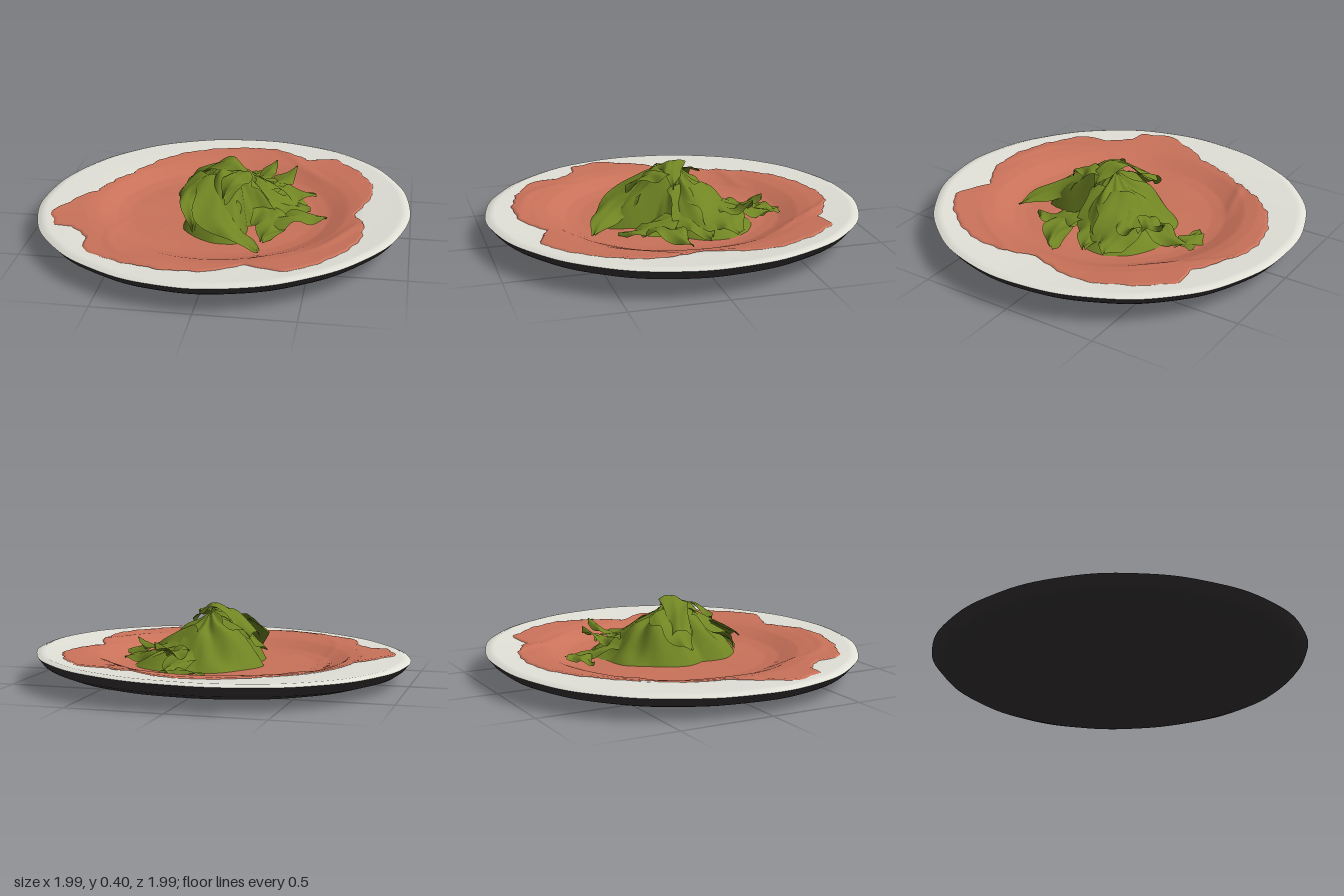
import * as THREE from 'three';

const material = (name, color, side = THREE.FrontSide) => {
  const m = new THREE.MeshStandardMaterial({ color, side });
  m.name = name;
  return m;
};

// Piecewise linear lookup in a list of [position, value]
function lookup(list, p) {
  for (let i = 1; i < list.length; i++) {
    if (p <= list[i][0]) {
      const [a, b] = [list[i - 1], list[i]];
      return a[1] + (b[1] - a[1]) * (p - a[0]) / (b[0] - a[0]);
    }
  }
  return list[list.length - 1][1];
}

// Turns an outline of x, z pairs into radius by angle around a centre
function radiusByAngle(flat, cx, cz) {
  const polar = [];
  for (let i = 0; i < flat.length; i += 2) {
    const x = flat[i] - cx, z = flat[i + 1] - cz;
    polar.push([Math.atan2(z, x), Math.hypot(x, z)]);
  }
  polar.sort((a, b) => a[0] - b[0]);
  const first = polar[0], last = polar[polar.length - 1], turn = Math.PI * 2;
  const list = [[last[0] - turn, last[1]], ...polar, [first[0] + turn, first[1]]];
  return a => lookup(list, a > Math.PI ? a - turn : a);
}

function gridGeometry(points, rows, cols, wrap) {
  const index = [];
  const width = wrap ? cols : cols + 1;
  for (let i = 0; i < rows; i++) {
    for (let j = 0; j < cols; j++) {
      const k = (j + 1) % width;
      const a = i * width + j, b = i * width + k;
      index.push(a, b, a + width, b, b + width, a + width);
    }
  }
  const g = new THREE.BufferGeometry();
  g.setAttribute('position', new THREE.Float32BufferAttribute(points, 3));
  g.setIndex(index);
  g.computeVertexNormals();
  return g;
}

// Round sheet; place(t, angle) gives a point, t running from centre to edge
function polarSheet(rows, cols, place) {
  const points = [];
  for (let i = 0; i <= rows; i++) {
    for (let j = 0; j < cols; j++) {
      points.push(...place(0.003 + 0.997 * i / rows, j / cols * Math.PI * 2));
    }
  }
  return gridGeometry(points, rows, cols, true);
}

// Slightly tilted plate: heights by radius
const topProfile = [[0, 0.068], [0.5, 0.072], [0.57, 0.082], [0.67, 0.12], [0.74, 0.133], [0.97, 0.147], [1, 0.135]];
const underProfile = [[0, 0], [0.45, 0.004], [0.6, 0.014], [0.75, 0.031], [0.87, 0.053], [0.96, 0.085], [1, 0.135]];
const tilt = (x, r) => 0.023 * x * r * r;
const topY = (x, z) => {
  const r = Math.hypot(x, z);
  return lookup(topProfile, r) + tilt(x, r);
};

// Meat surface with spiralling wrinkles that fade in and out
function meatY(x, z) {
  const r = Math.hypot(x, z), a = Math.atan2(z, x);
  const crease = Math.pow(Math.abs(Math.sin(9 * r + 2 * a + 0.5 * Math.sin(5 * a))), 24);
  const patch = Math.max(0, Math.sin(4 * a + 8 * r));
  return topY(x, z) + 0.009 + 0.007 * crease * patch * Math.min(1, r * 2)
    + 0.003 * Math.sin(7 * x + 4 * z) * Math.sin(9 * z - 3 * x);
}

const meatOutline = [
  0.79, -0.3, 0.7, -0.52, 0.55, -0.7, 0.4, -0.68, 0.12, -0.83, -0.1, -0.82, -0.3, -0.74, -0.57, -0.42,
  -0.72, -0.1, -0.84, 0.09, -0.9, 0.22, -0.83, 0.38, -0.74, 0.39, -0.63, 0.5, -0.62, 0.65, -0.33, 0.8,
  -0.15, 0.84, 0.05, 0.82, 0.2, 0.72, 0.43, 0.79, 0.74, 0.43, 0.76, 0.2, 0.7, 0.04,
];

const heartOutline = [
  0.2, -0.38, 0.37, -0.31, 0.44, -0.2, 0.42, -0.05, 0.24, 0.08, 0.15, 0.15, 0.12, 0.38,
  0, 0.38, -0.18, 0.23, -0.18, 0.08, -0.23, -0.02, -0.16, -0.22, -0.07, -0.33, 0.06, -0.35,
];

// Leaf spine: base, middle and tip as x, y, z, then half width
const leaves = {
  backStalk: [0.12, 0.2, -0.2, 0.14, 0.14, -0.35, 0.14, 0.11, -0.52, 0.08],
  backTip: [0.18, 0.11, -0.5, 0.08, 0.12, -0.5, -0.04, 0.1, -0.48, 0.065],
  backUpturned: [0.14, 0.2, -0.24, 0.18, 0.18, -0.32, 0.24, 0.24, -0.42, 0.06],
  backCorner: [0.18, 0.22, -0.14, 0.28, 0.19, -0.24, 0.36, 0.25, -0.33, 0.07],
  backRight: [0.14, 0.29, -0.08, 0.32, 0.17, -0.19, 0.48, 0.13, -0.22, 0.12],
  right: [0.14, 0.3, 0, 0.3, 0.15, -0.04, 0.46, 0.11, -0.08, 0.1],
  frontRight: [0.22, 0.16, 0.05, 0.28, 0.13, 0.2, 0.25, 0.1, 0.36, 0.09],
  frontRightSpur: [0.24, 0.12, 0.2, 0.4, 0.15, 0.12, 0.56, 0.12, 0.05, 0.08],
  front: [-0.03, 0.34, 0.08, 0.02, 0.21, 0.3, 0.25, 0.105, 0.49, 0.12],
  frontLeft: [-0.09, 0.34, 0.07, -0.15, 0.26, 0.17, -0.11, 0.14, 0.32, 0.07],
  frontSmall: [0.1, 0.36, 0.04, 0.08, 0.35, 0.15, 0.04, 0.28, 0.27, 0.07],
  left: [-0.02, 0.34, -0.1, -0.15, 0.26, -0.05, -0.25, 0.17, -0.02, 0.1],
  crest: [-0.19, 0.26, -0.05, 0.05, 0.4, 0.02, 0.18, 0.31, 0.04, 0.07],
};

function leafGeometry(s, phase) {
  const knots = [0, 3, 6].map(i => new THREE.Vector3(s[i], s[i + 1], s[i + 2]));
  const curve = new THREE.CatmullRomCurve3(knots);
  const rows = 28, cols = 14, points = [];
  for (let i = 0; i <= rows; i++) {
    const t = i / rows;
    const p = curve.getPoint(t), d = curve.getTangent(t);
    const flat = Math.hypot(d.x, d.z);
    const w = s[9] * Math.sin(Math.PI * (0.25 + 0.72 * t)) * (1 + 0.13 * Math.sin(t * 15 + phase));
    for (let j = 0; j <= cols; j++) {
      const v = j / cols * 2 - 1;
      const lift = 0.018 * Math.abs(v) * Math.sin(t * 11 + v * 2.5 + phase) - 0.018 * v * v;
      const x = p.x + d.z / flat * v * w, z = p.z - d.x / flat * v * w;
      points.push(x, Math.max(p.y + lift, topY(x, z) + 0.018), z);
    }
  }
  return gridGeometry(points, rows, cols, false);
}

export function createModel() {
  const group = new THREE.Group();
  const white = material('offWhiteGlaze', 0xe2e1d8);
  const dark = material('darkUnderside', 0x393536);
  const pink = material('curedMeat', 0xca725a);
  const green = material('leafGreen', 0x718523, THREE.DoubleSide);
  const add = (name, geometry, mat) => {
    const mesh = new THREE.Mesh(geometry, mat);
    mesh.name = name;
    group.add(mesh);
  };

  // Plate with a slightly uneven edge
  const edge = a => 0.995 + 0.004 * Math.sin(5 * a) + 0.002 * Math.sin(17 * a);
  add('plateTop', polarSheet(60, 128, (t, a) => {
    const r = t * edge(a), x = r * Math.cos(a), z = r * Math.sin(a);
    return [x, lookup(topProfile, t) + tilt(x, r), z];
  }), white);
  add('plateUnderside', polarSheet(60, 128, (t, a) => {
    const r = t * edge(-a), x = r * Math.cos(a), z = -r * Math.sin(a);
    return [x, Math.max(0, lookup(underProfile, t) + tilt(x, r)), z];
  }), dark);

  // Thin sliced meat lying in the plate, its edge pressed down
  const meatRadius = radiusByAngle(meatOutline, 0, 0);
  add('meatSlices', polarSheet(90, 220, (t, a) => {
    const r = t * (meatRadius(a) + 0.008 * Math.sin(41 * a) * Math.sin(13 * a));
    const x = r * Math.cos(a), z = r * Math.sin(a);
    return [x, meatY(x, z) - (t === 1 ? 0.007 : 0), z];
  }), pink);

  // Crumpled heart of the salad, steep at the front left and shallow at the back right
  const cx = 0.06, cz = -0.02;
  const heartRadius = radiusByAngle(heartOutline, cx, cz);
  add('saladHeart', polarSheet(40, 120, (t, a) => {
    const r = t * heartRadius(a), x = cx + r * Math.cos(a), z = cz + r * Math.sin(a);
    const steepness = 1.4 - 0.55 * Math.cos(a + Math.PI / 4);
    const crumple = 0.03 * Math.sin(17 * x + 6 * z + 1) * Math.sin(19 * z - 8 * x) + 0.012 * Math.sin(9 * a + 6 * t);
    return [x, 0.078 + 0.29 * (1 - Math.pow(t, steepness)) + crumple * Math.sin(Math.PI * t), z];
  }), green);

  // Loose leaves
  Object.entries(leaves).forEach(([name, spine], i) => {
    add(name + 'Leaf', leafGeometry(spine, i * 1.7), green);
  });
  return group;
}
